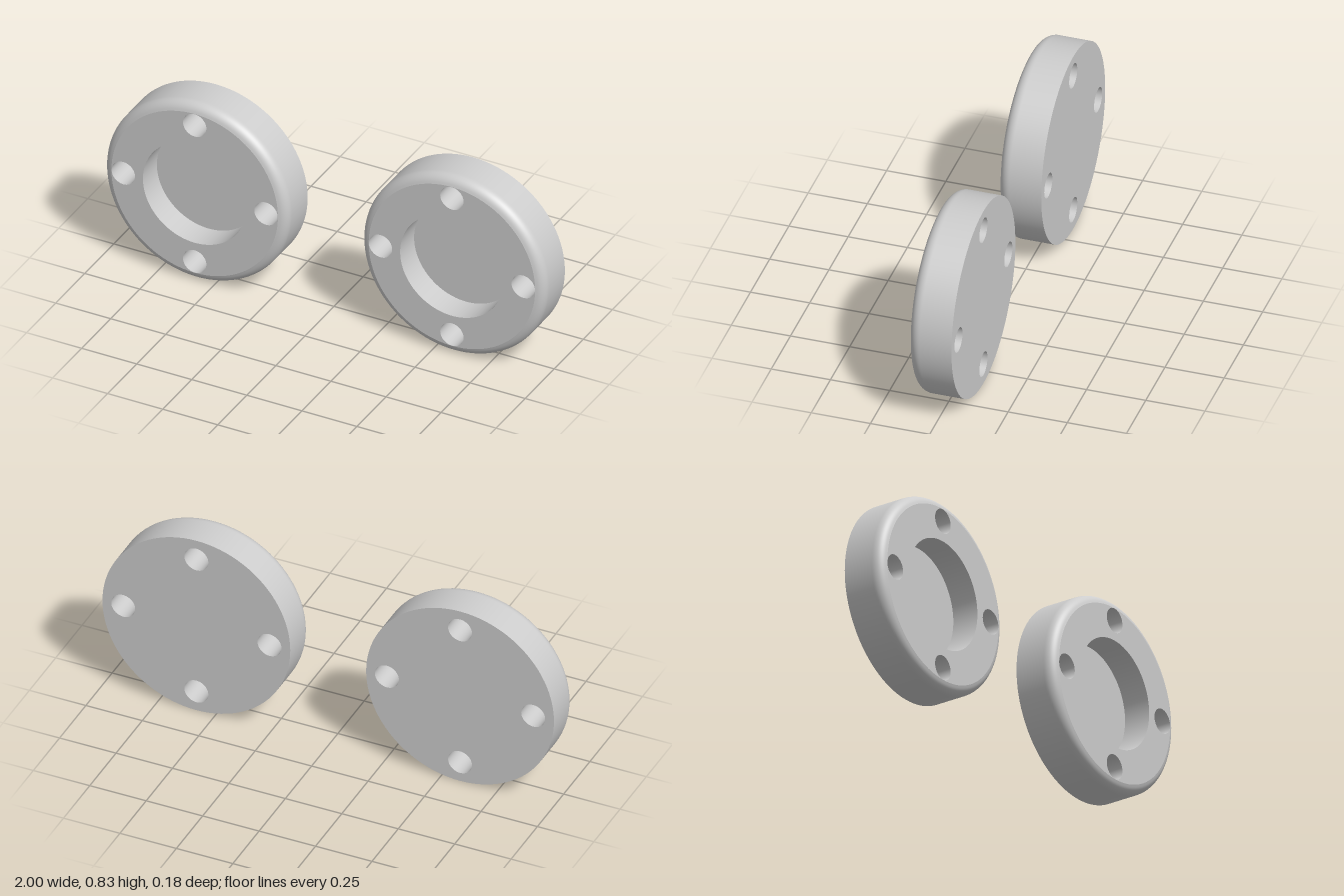
import * as THREE from 'three';

const R = 0.416, HALF = 0.092, FILLET = 0.046; // disc radius, half thickness, front rounding
const FACE_R = 0.378;                          // flat front face radius
const RECESS_R = 0.235, FLOOR_Z = HALF - 0.12;
const HOLE_R = 0.053, HOLE_CIRCLE = 0.324;
const SEG = 96;

const holeCentres = [0, 1, 2, 3].map((i) => {
  const a = (i * Math.PI) / 2;
  return [HOLE_CIRCLE * Math.cos(a), HOLE_CIRCLE * Math.sin(a)];
});

// Flat disc facing +z with round holes given as [x, y, radius]
function plate(radius, holes) {
  const shape = new THREE.Shape().absarc(0, 0, radius, 0, Math.PI * 2);
  for (const [x, y, r] of holes) {
    shape.holes.push(new THREE.Path().absarc(x, y, r, 0, Math.PI * 2, true));
  }
  return new THREE.ShapeGeometry(shape, SEG / 2);
}

// Surface of revolution about z; points run toward +z for an outward surface
function turned(points) {
  const profile = points.map(([r, z]) => new THREE.Vector2(r, z));
  return new THREE.LatheGeometry(profile, SEG).rotateX(Math.PI / 2);
}

export function createModel() {
  const metal = new THREE.MeshStandardMaterial({ color: 0xcccccc });
  metal.name = 'light grey';
  const model = new THREE.Group();
  model.name = 'pairOfFlanges';

  const bolts = holeCentres.map(([x, y]) => [x, y, HOLE_R]);

  // Outer side with rounded front edge
  const rim = [[R, -HALF], [R, HALF - FILLET - 0.004]];
  const steps = 12, endAngle = Math.acos((FACE_R - R + FILLET) / FILLET);
  for (let i = 0; i < steps; i++) {
    const a = (endAngle * i) / steps;
    rim.push([R - FILLET + FILLET * Math.cos(a), HALF - FILLET + FILLET * Math.sin(a)]);
  }
  rim.push([FACE_R, HALF]);

  const rimGeo = turned(rim);
  const frontGeo = plate(FACE_R, [[0, 0, RECESS_R], ...bolts]).translate(0, 0, HALF);
  const backGeo = plate(R, bolts).rotateY(Math.PI).translate(0, 0, -HALF);
  const recessWallGeo = turned([[RECESS_R, HALF], [RECESS_R, FLOOR_Z]]);
  const recessFloorGeo = plate(RECESS_R, []).translate(0, 0, FLOOR_Z);
  const boreGeo = turned([[HOLE_R, HALF], [HOLE_R, -HALF]]);

  for (const side of [-1, 1]) {
    const flange = new THREE.Group();
    flange.name = side > 0 ? 'leftFlange' : 'rightFlange';
    const add = (name, geo, x = 0, y = 0) => {
      const mesh = new THREE.Mesh(geo, metal);
      mesh.name = name;
      mesh.position.set(x, y, 0);
      flange.add(mesh);
    };
    add('outerRim', rimGeo);
    add('frontFace', frontGeo);
    add('backFace', backGeo);
    add('recessWall', recessWallGeo);
    add('recessFloor', recessFloorGeo);
    // Four through holes
    holeCentres.forEach(([x, y], i) => add(`boltHole${i + 1}`, boreGeo, x, y));
    flange.position.set(side * (1 - R), R, 0);
    model.add(flange);
  }
  return model;
}
